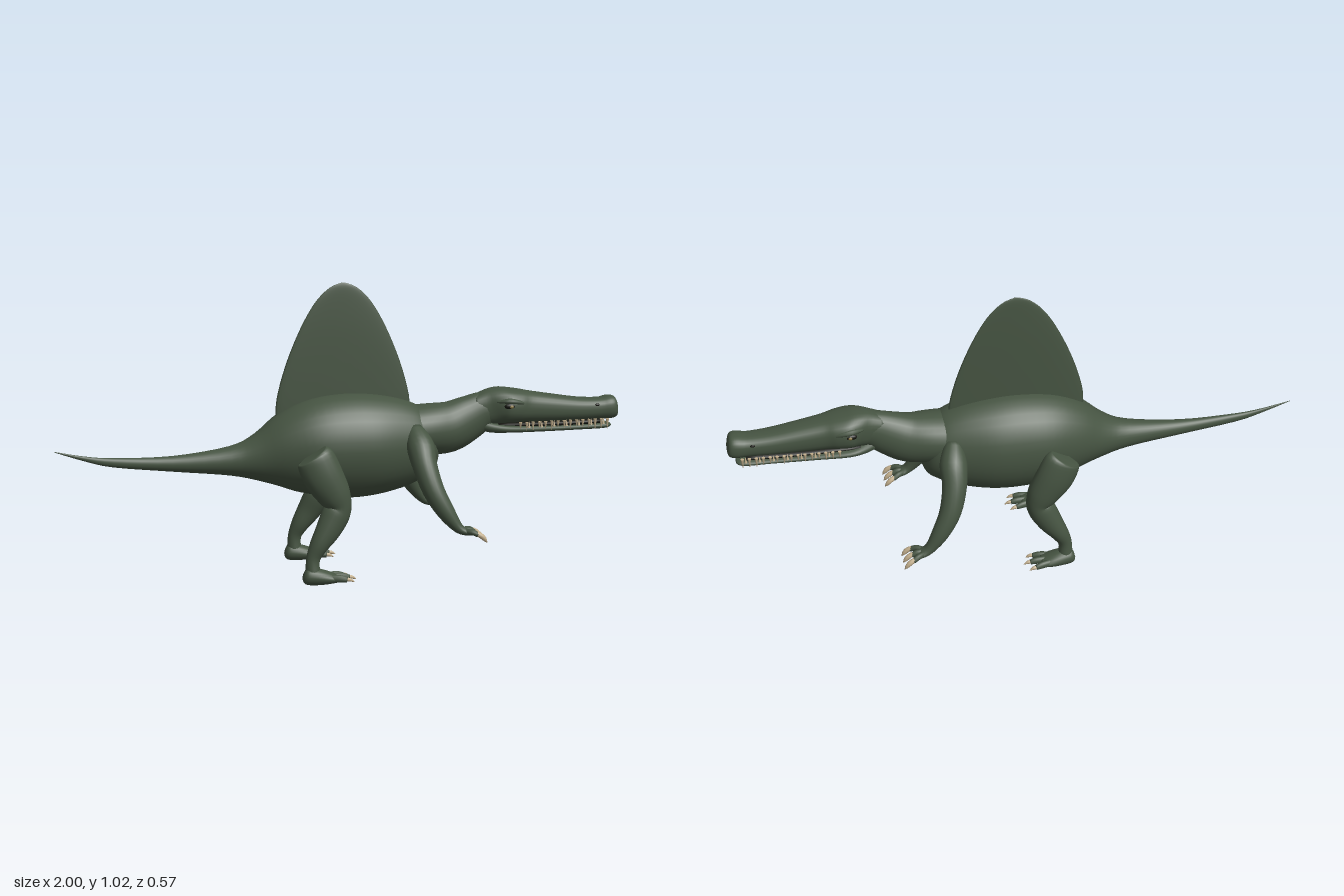
import * as THREE from 'three';

const skin = new THREE.MeshStandardMaterial({ color: 0x465442 });
skin.name = 'darkGreenSkin';
const ivory = new THREE.MeshStandardMaterial({ color: 0xc4b08e });
ivory.name = 'ivory';
const dark = new THREE.MeshStandardMaterial({ color: 0x14150f });
dark.name = 'black';
const amber = new THREE.MeshStandardMaterial({ color: 0x8a7a48 });
amber.name = 'amber';

// Smooth interpolation through rows of numbers, t in 0..1
function sample(rows, t) {
  const f = t * (rows.length - 1);
  const i = Math.min(Math.floor(f), rows.length - 2);
  const u = f - i;
  const p0 = rows[Math.max(i - 1, 0)], p1 = rows[i], p2 = rows[i + 1];
  const p3 = rows[Math.min(i + 2, rows.length - 1)];
  return p1.map((b, k) => {
    const a = p0[k], c = p2[k], d = p3[k];
    return b + 0.5 * u * (c - a + u * (2 * a - 5 * b + 4 * c - d + u * (3 * (b - c) + d - a)));
  });
}

// Closed smooth skin over oval sections; each row is [x, y, z, halfHeight, halfWidth].
// A power below 1 makes the ovals squarer.
function loft(name, rows, { sides = 20, steps = 4, power = 1, material = skin } = {}) {
  const n = (rows.length - 1) * steps;
  const sections = Array.from({ length: n + 1 }, (_, i) => sample(rows, i / n));
  const centres = sections.map((s) => new THREE.Vector3(s[0], s[1], s[2]));
  const pos = [], index = [];
  const shape = (v) => Math.sign(v) * Math.pow(Math.abs(v), power);
  sections.forEach((s, i) => {
    const T = centres[Math.min(i + 1, n)].clone().sub(centres[Math.max(i - 1, 0)]).normalize();
    const S = new THREE.Vector3(0, 0, 1).addScaledVector(T, -T.z).normalize();
    const N = S.clone().cross(T);
    for (let j = 0; j < sides; j++) {
      const a = (j / sides) * Math.PI * 2;
      const p = centres[i].clone()
        .addScaledVector(N, Math.max(s[3], 0.0005) * shape(Math.cos(a)))
        .addScaledVector(S, Math.max(s[4], 0.0005) * shape(Math.sin(a)));
      pos.push(p.x, p.y, p.z);
    }
  });
  for (let i = 0; i < n; i++) {
    for (let j = 0; j < sides; j++) {
      const a = i * sides + j, b = i * sides + (j + 1) % sides;
      index.push(a, b, a + sides, b, b + sides, a + sides);
    }
  }
  // End caps
  const first = pos.length / 3, last = first + 1;
  pos.push(...centres[0].toArray(), ...centres[n].toArray());
  for (let j = 0; j < sides; j++) {
    const k = (j + 1) % sides;
    index.push(first, k, j, last, n * sides + j, n * sides + k);
  }
  const g = new THREE.BufferGeometry();
  g.setAttribute('position', new THREE.Float32BufferAttribute(pos, 3));
  g.setIndex(index);
  g.computeVertexNormals();
  const mesh = new THREE.Mesh(g, material);
  mesh.name = name;
  return mesh;
}

function ball(name, material, x, y, z, sx, sy, sz) {
  const m = new THREE.Mesh(new THREE.SphereGeometry(1, 14, 10), material);
  m.name = name;
  m.position.set(x, y, z);
  m.scale.set(sx, sy, sz);
  return m;
}

// Profile of the upper head and snout
const headRows = [
  [0.47, 0.56, 0, 0.05, 0.045], [0.52, 0.565, 0, 0.064, 0.052], [0.56, 0.572, 0, 0.065, 0.069],
  [0.59, 0.572, 0, 0.062, 0.079], [0.63, 0.569, 0, 0.059, 0.074], [0.67, 0.565, 0, 0.055, 0.063],
  [0.75, 0.558, 0, 0.049, 0.056], [0.85, 0.551, 0, 0.041, 0.05], [0.93, 0.55, 0, 0.038, 0.046],
  [0.97, 0.553, 0, 0.042, 0.048], [0.993, 0.556, 0, 0.036, 0.04], [1.0, 0.557, 0, 0.012, 0.014],
];

function addHeadSide(group, s) {
  // Eye, brow and nostril
  group.add(ball('eyeSocket', dark, 0.585, 0.578, s * 0.071, 0.022, 0.011, 0.01));
  group.add(ball('eye', amber, 0.587, 0.577, s * 0.076, 0.009, 0.007, 0.007));
  group.add(loft('brow', [
    [0.54, 0.592, s * 0.055, 0.004, 0.006], [0.58, 0.596, s * 0.07, 0.01, 0.012],
    [0.62, 0.59, s * 0.068, 0.008, 0.01], [0.65, 0.58, s * 0.06, 0.002, 0.003],
  ], { sides: 10 }));
  group.add(ball('nostril', dark, 0.915, 0.567, s * 0.043, 0.009, 0.005, 0.004));
  // Upper teeth, longest at the snout tip, with small lower teeth between
  for (let i = 0; i < 15; i++) {
    const x = 0.625 + i * 0.0235;
    const w = THREE.MathUtils.lerp(0.063, 0.043, i / 14);
    const len = i > 11 ? 0.04 : 0.026 + (i % 3) * 0.004;
    const tooth = new THREE.Mesh(new THREE.ConeGeometry(0.0062, len, 7), ivory);
    tooth.name = 'upperTooth';
    tooth.rotation.x = Math.PI;
    tooth.position.set(x, 0.518 - len / 2, s * w);
    group.add(tooth);
    if (i % 2) {
      const low = new THREE.Mesh(new THREE.ConeGeometry(0.005, 0.024, 7), ivory);
      low.name = 'lowerTooth';
      low.position.set(x + 0.012, 0.508, s * (w - 0.009));
      group.add(low);
    }
  }
}

function addArm(group, s) {
  group.add(loft('arm', [
    [0.235, 0.51, 0.08, 0.03, 0.03], [0.245, 0.46, 0.13, 0.048, 0.045],
    [0.25, 0.4, 0.175, 0.043, 0.04], [0.272, 0.32, 0.212, 0.038, 0.035],
    [0.31, 0.25, 0.232, 0.031, 0.029], [0.35, 0.195, 0.24, 0.019, 0.022],
    [0.378, 0.178, 0.24, 0.013, 0.026], [0.4, 0.172, 0.24, 0.008, 0.026],
  ].map(([x, y, z, a, b]) => [x, y, z * s, a, b])));
  for (const d of [-1, 0, 1]) {
    const z = (k) => s * (0.24 + d * k);
    group.add(loft('finger', [
      [0.375, 0.18, z(0.012), 0.01, 0.01], [0.395, 0.181, z(0.026), 0.01, 0.01],
      [0.415, 0.172, z(0.034), 0.009, 0.009],
    ], { sides: 10 }));
    group.add(loft('fingerClaw', [
      [0.405, 0.178, z(0.031), 0.008, 0.008], [0.425, 0.168, z(0.036), 0.009, 0.009],
      [0.438, 0.155, z(0.037), 0.007, 0.007], [0.446, 0.144, z(0.037), 0.001, 0.001],
    ], { sides: 10, material: ivory }));
  }
}

function addLeg(group, s) {
  group.add(loft('leg', [
    [-0.137, 0.45, 0.16, 0.05, 0.032], [-0.13, 0.437, 0.16, 0.066, 0.042],
    [-0.103, 0.375, 0.163, 0.069, 0.046], [-0.065, 0.31, 0.16, 0.058, 0.046],
    [-0.048, 0.268, 0.158, 0.044, 0.042], [-0.062, 0.235, 0.16, 0.049, 0.043],
    [-0.09, 0.185, 0.168, 0.043, 0.037], [-0.122, 0.135, 0.172, 0.032, 0.032],
    [-0.142, 0.09, 0.175, 0.024, 0.022], [-0.143, 0.04, 0.177, 0.026, 0.026],
  ].map(([x, y, z, a, b]) => [x, y, z * s, a, b])));
  group.add(loft('foot', [
    [-0.176, 0.034, s * 0.178, 0.012, 0.012], [-0.165, 0.032, s * 0.178, 0.028, 0.027],
    [-0.13, 0.029, s * 0.178, 0.029, 0.034], [-0.09, 0.024, s * 0.178, 0.022, 0.037],
    [-0.055, 0.02, s * 0.178, 0.012, 0.034],
  ]));
  for (const d of [-1, 0, 1]) {
    const z = (k) => s * (0.178 + d * k);
    const f = d ? 0 : 0.014;
    group.add(loft('toe', [
      [-0.09, 0.025, z(0.02), 0.013, 0.012], [-0.055 + f, 0.025, z(0.029), 0.013, 0.011],
      [-0.03 + f, 0.021, z(0.034), 0.009, 0.009],
    ], { sides: 10 }));
    group.add(loft('toeClaw', [
      [-0.036 + f, 0.023, z(0.033), 0.007, 0.007], [-0.02 + f, 0.021, z(0.036), 0.006, 0.006],
      [-0.006 + f, 0.014, z(0.037), 0.001, 0.001],
    ], { sides: 8, material: ivory }));
  }
}

export function createModel() {
  const group = new THREE.Group();
  group.name = 'sailBackedDinosaur';

  // Tail and trunk
  group.add(loft('body', [
    [-1.0, 0.465, 0, 0.001, 0.001], [-0.9, 0.438, 0, 0.008, 0.006], [-0.8, 0.42, 0, 0.016, 0.012],
    [-0.6, 0.408, 0, 0.027, 0.025], [-0.4, 0.41, 0, 0.051, 0.05], [-0.3, 0.418, 0, 0.085, 0.08],
    [-0.2, 0.435, 0, 0.14, 0.122], [-0.1, 0.448, 0, 0.173, 0.15], [0, 0.45, 0, 0.185, 0.157],
    [0.1, 0.45, 0, 0.18, 0.152], [0.2, 0.452, 0, 0.16, 0.128], [0.27, 0.458, 0, 0.132, 0.105],
    [0.31, 0.465, 0, 0.1, 0.08], [0.33, 0.47, 0, 0.04, 0.03],
  ], { sides: 32 }));

  // Neck
  group.add(loft('neck', [
    [0.2, 0.49, 0, 0.09, 0.1], [0.3, 0.495, 0, 0.091, 0.093], [0.38, 0.501, 0, 0.09, 0.078],
    [0.45, 0.53, 0, 0.08, 0.06], [0.5, 0.553, 0, 0.069, 0.051], [0.56, 0.565, 0, 0.058, 0.05],
  ], { sides: 28 }));

  // Tall thin sail on the back
  group.add(loft('sail', [
    [0, 0.54, 0, 0.238, 0.013], [0, 0.62, 0, 0.235, 0.013], [0, 0.74, 0, 0.202, 0.0125],
    [0, 0.86, 0, 0.152, 0.011], [0, 0.95, 0, 0.1, 0.008], [0, 1.0, 0, 0.05, 0.005],
    [0, 1.018, 0, 0.008, 0.001],
  ], { sides: 28 }));

  // Head and lower jaw
  group.add(loft('head', headRows, { sides: 28, power: 0.8 }));
  group.add(loft('lowerJaw', [
    [0.49, 0.51, 0, 0.02, 0.035], [0.53, 0.498, 0, 0.021, 0.05], [0.59, 0.492, 0, 0.016, 0.062],
    [0.7, 0.488, 0, 0.013, 0.051], [0.85, 0.487, 0, 0.011, 0.041], [0.95, 0.489, 0, 0.011, 0.038],
    [0.975, 0.491, 0, 0.006, 0.022],
  ], { power: 0.8 }));
  group.add(loft('mouthInterior', [
    [0.55, 0.506, 0, 0.012, 0.045], [0.75, 0.503, 0, 0.012, 0.04], [0.94, 0.503, 0, 0.012, 0.028],
  ], { material: dark }));

  // Mirrored parts
  for (const s of [1, -1]) {
    addHeadSide(group, s);
    addArm(group, s);
    addLeg(group, s);
  }
  return group;
}
